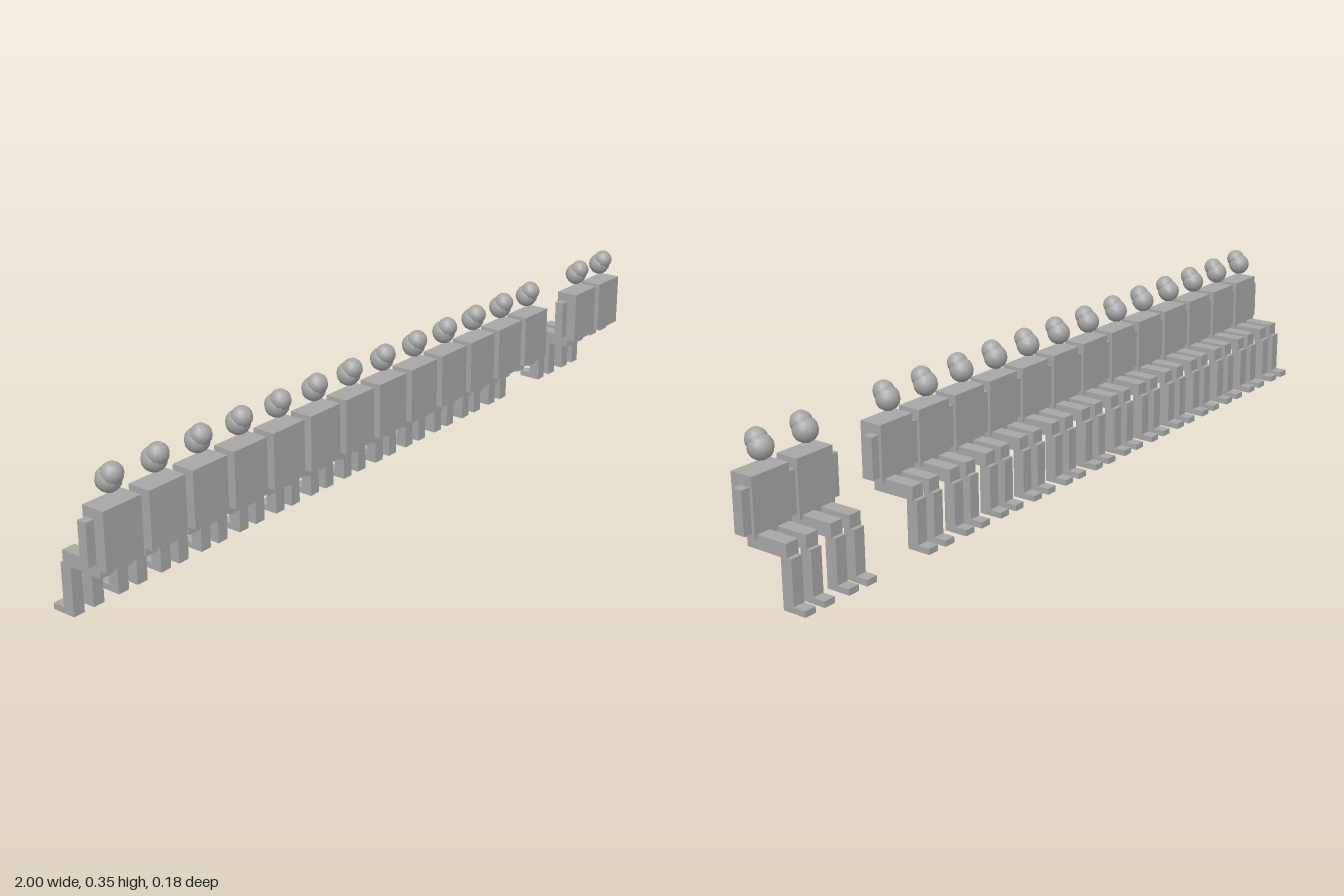
import * as THREE from 'three';

export function createModel() {
  const model = new THREE.Group();
  model.name = 'rowOfSeatedFigures';

  const grey = new THREE.MeshStandardMaterial({ color: 0xa6a6a6 });
  grey.name = 'plain grey';

  // Box geometry given by its centre x, width, and y and z ranges
  const block = (x, width, y0, y1, z0, z1) =>
    new THREE.BoxGeometry(width, y1 - y0, z1 - z0).translate(x, (y0 + y1) / 2, (z0 + z1) / 2);
  const ball = (radius, y, z) =>
    new THREE.SphereGeometry(radius, 12, 8).translate(0, y, z);

  // Parts of one figure: torso and a head of two overlapping balls
  const parts = [
    ['torso', block(0, 0.102, 0.138, 0.27, 0.0305, 0.0875)],
    ['head', ball(0.028, 0.3128, 0.0538)],
    ['hair', ball(0.0243, 0.327, 0.0645)],
  ];

  // Mirrored limbs, bent at the knee with the feet towards -z
  for (const [side, s] of [['left', 1], ['right', -1]]) {
    parts.push(
      [side + 'Arm', block(s * 0.061, 0.023, 0.15, 0.247, 0.0375, 0.0607)],
      [side + 'Thigh', block(s * 0.027, 0.033, 0.115, 0.147, -0.047, 0.0607)],
      [side + 'Shin', block(s * 0.027, 0.029, 0.0143, 0.1165, -0.0571, -0.0285)],
      [side + 'Foot', block(s * 0.027, 0.029, 0, 0.0143, -0.0875, -0.0285)],
    );
  }

  // Sixteen places in the row, one of them left empty
  const places = 16, emptyPlace = 13, end = 0.9275;
  for (let i = 0; i < places; i++) {
    if (i === emptyPlace) continue;
    const figure = new THREE.Group();
    figure.name = 'figure' + (i + 1);
    figure.position.x = -end + (2 * end * i) / (places - 1);
    for (const [name, geometry] of parts) {
      const mesh = new THREE.Mesh(geometry, grey);
      mesh.name = name;
      figure.add(mesh);
    }
    model.add(figure);
  }
  return model;
}
